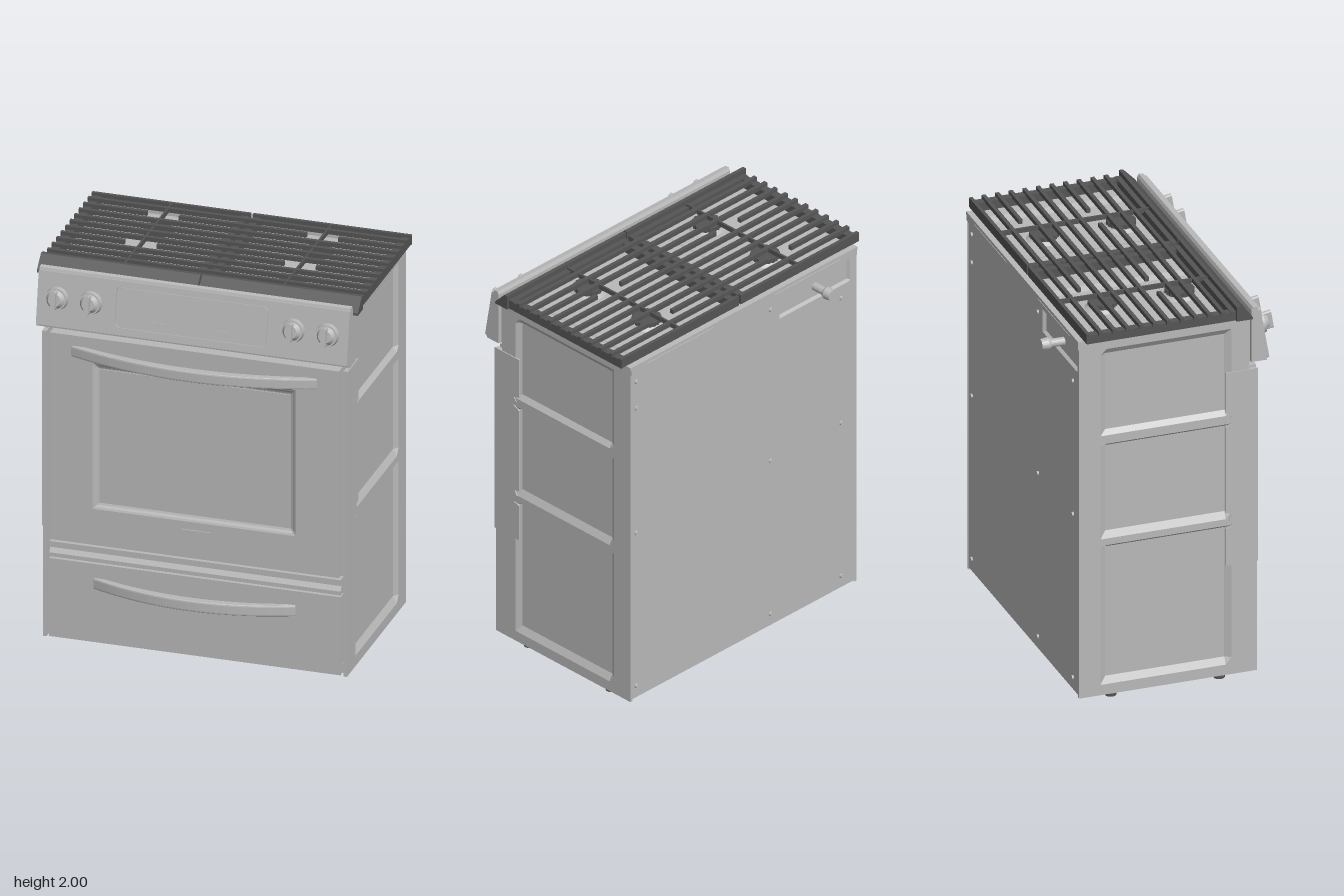
import * as THREE from 'three';

const steel = new THREE.MeshStandardMaterial({ color: 0xb9b9b9, side: THREE.DoubleSide });
steel.name = 'brushed steel';
const iron = new THREE.MeshStandardMaterial({ color: 0x555555 });
iron.name = 'cast iron';

function add(parent, name, geometry, material, x = 0, y = 0, z = 0) {
  const mesh = new THREE.Mesh(geometry, material);
  mesh.name = name;
  mesh.position.set(x, y, z);
  parent.add(mesh);
  return mesh;
}

// Box given by its limits on each axis
function block(parent, name, material, [x0, x1], [y0, y1], [z0, z1]) {
  return add(parent, name, new THREE.BoxGeometry(x1 - x0, y1 - y0, z1 - z0), material,
    (x0 + x1) / 2, (y0 + y1) / 2, (z0 + z1) / 2);
}

// Pressed sheet facing +z with sunken areas and a folded edge
function pressedSheet(us, vs, fold, depth) {
  const ring = a => [a[0], ...a, a[a.length - 1]];
  const U = ring(us), V = ring(vs), pos = [];
  const corner = (i, j) => {
    const edge = i === 0 || j === 0 || i === U.length - 1 || j === V.length - 1;
    return [U[i], V[j], edge ? -fold : -depth(U[i], V[j])];
  };
  for (let i = 0; i < U.length - 1; i++) {
    for (let j = 0; j < V.length - 1; j++) {
      const a = corner(i, j), b = corner(i + 1, j), c = corner(i + 1, j + 1), d = corner(i, j + 1);
      pos.push(...a, ...b, ...c, ...a, ...c, ...d);
    }
  }
  const g = new THREE.BufferGeometry();
  g.setAttribute('position', new THREE.Float32BufferAttribute(pos, 3));
  g.computeVertexNormals();
  return g;
}

const within = (v, a, b) => v > a - 1e-6 && v < b + 1e-6;

// Profile of [z, y] points swept along x
function sweepX(parent, name, material, points, width, x = 0) {
  const shape = new THREE.Shape(points.map(p => new THREE.Vector2(...p)));
  const g = new THREE.ExtrudeGeometry(shape, { depth: width, bevelEnabled: false });
  g.translate(0, 0, -width / 2).rotateY(-Math.PI / 2);
  return add(parent, name, g, material, x);
}

function roundedRect(w, h, r, cx = 0, cy = 0) {
  const s = new THREE.Shape(), x = w / 2 - r, y = h / 2 - r;
  s.absarc(cx + x, cy + y, r, 0, Math.PI / 2);
  s.absarc(cx - x, cy + y, r, Math.PI / 2, Math.PI);
  s.absarc(cx - x, cy - y, r, Math.PI, Math.PI * 1.5);
  s.absarc(cx + x, cy - y, r, Math.PI * 1.5, Math.PI * 2);
  return s;
}

const slab = (shape, t) =>
  new THREE.ExtrudeGeometry(shape, { depth: t, bevelEnabled: false, curveSegments: 6 });

// Bowed flat handle, thicker in the middle
function bowHandle(parent, name, half, y, zEnd, zMid) {
  const n = 24, points = [];
  const x = i => -half + 2 * half * i / n;
  const bow = (v, a, b) => -(a + (b - a) * (1 - (v / half) ** 2));
  for (let i = 0; i <= n; i++) points.push(new THREE.Vector2(x(i), bow(x(i), zEnd, zMid)));
  for (let i = n; i >= 0; i--) points.push(new THREE.Vector2(x(i), bow(x(i), zEnd - 0.02, zMid - 0.035)));
  const g = new THREE.ExtrudeGeometry(new THREE.Shape(points),
    { depth: 0.038, bevelThickness: 0.009, bevelSize: 0.005, bevelSegments: 2 });
  g.translate(0, 0, -0.019).rotateX(-Math.PI / 2);
  add(parent, name, g, steel, 0, y, 0);
}

function makeBody(g) {
  block(g, 'core', steel, [-0.735, 0.735], [0.08, 1.88], [-0.44, 0.39]);
  block(g, 'frontSill', steel, [-0.755, 0.755], [0.035, 0.085], [0.37, 0.41]);

  // Side walls with three sunken fields each
  const zs = [-0.47, -0.36, -0.33, 0.28, 0.31, 0.4];
  const ys = [0.03, 0.085, 0.12, 0.81, 0.825, 0.86, 0.895, 1.35, 1.365, 1.41, 1.435, 1.84, 1.87, 1.925];
  const fields = [[0.12, 0.81], [0.895, 1.35], [1.435, 1.84]];
  // Trim outline with notches around the two ribs
  const trim = [[0.445, 0.615], [0.445, 1.64], [0.28, 1.64], [0.28, 1.425], [0.315, 1.415], [0.3, 1.39], [0.32, 1.37],
    [0.28, 1.35], [0.28, 0.895], [0.31, 0.885], [0.295, 0.86], [0.315, 0.82], [0.28, 0.81], [0.28, 0.615]];
  for (const s of [1, -1]) {
    const us = zs.map(z => -s * z).sort((a, b) => a - b);
    const sheet = pressedSheet(us, ys, 0.015, (u, v) =>
      within(-s * u, -0.33, 0.28) && fields.some(f => within(v, ...f)) ? 0.02 : 0);
    add(g, 'sideWall', sheet, steel, s * 0.767).rotation.y = s * Math.PI / 2;
    const span = (a, b) => [Math.min(s * a, s * b), Math.max(s * a, s * b)];
    block(g, 'frontPost', steel, span(0.75, 0.767), [0.03, 1.64], [0.38, 0.44]);
    sweepX(g, 'sideTrim', steel, trim, 0.008, s * 0.768);
    // Levelling feet
    for (const z of [0.265, -0.29]) {
      add(g, 'foot', new THREE.CylinderGeometry(0.028, 0.028, 0.025, 16), iron, s * 0.715, 0.0125, z);
      add(g, 'footStem', new THREE.CylinderGeometry(0.014, 0.014, 0.065, 12), iron, s * 0.715, 0.052, z);
    }
  }

  // Back sheet with a sunken pocket for the gas inlet
  const back = pressedSheet([-0.76, 0.25, 0.26, 0.72, 0.73, 0.76], [0.035, 1.75, 1.76, 1.87, 1.88, 1.92], 0.02,
    (u, v) => within(u, 0.26, 0.72) && within(v, 1.76, 1.87) ? 0.015 : 0);
  add(g, 'backSheet', back, steel, 0, 0, -0.464).rotation.y = Math.PI;
  const screws = [[0.72, [1.83, 1.68, 0.97, 0.1]], [-0.19, [1.83, 0.97, 0.1]], [-0.67, [1.68, 0.97, 0.1]]];
  for (const [x, heights] of screws) for (const y of heights) {
    const geo = new THREE.CylinderGeometry(0.01, 0.012, 0.01, 10).rotateX(-Math.PI / 2);
    add(g, 'screw', geo, steel, x, y, -0.468);
  }
  const pipe = [[0, 0], [0.021, 0], [0.021, 0.07], [0.026, 0.071], [0.032, 0.085], [0.027, 0.12], [0, 0.12]];
  const inlet = new THREE.LatheGeometry(pipe.map(p => new THREE.Vector2(...p)), 20).toNonIndexed();
  inlet.computeVertexNormals();
  add(g, 'gasInlet', inlet, steel, -0.505, 1.815, -0.45).rotation.x = -Math.PI / 2;
}

function makeFront(g) {
  // Oven door with a softly sunken window
  const rims = [0.03, 0.02, 0.01, 0];
  const us = [-0.73, ...rims.map(r => -0.483 - r), ...rims.map(r => 0.483 + r).reverse(), 0.73];
  const vs = [0.55, ...rims.map(r => 0.77 - r), ...rims.map(r => 1.48 + r).reverse(), 1.64];
  const door = pressedSheet(us, vs, 0.06, (u, v) => {
    const out = Math.max(Math.abs(u) - 0.483, 0.77 - v, v - 1.48, 0);
    return 0.016 * THREE.MathUtils.smoothstep(0.03 - out, 0, 0.03);
  });
  add(g, 'ovenDoor', door, steel, 0, 0, 0.45);
  block(g, 'windowGlass', steel, [-0.478, 0.478], [0.775, 1.475], [0.43, 0.438]);
  block(g, 'doorTopTrim', steel, [-0.735, 0.735], [1.648, 1.675], [0.38, 0.408]);
  add(g, 'badge', slab(roundedRect(0.15, 0.028, 0.004), 0.006), steel, 0.005, 0.685, 0.45);
  bowHandle(g, 'doorHandle', 0.615, 1.558, 0.452, 0.56);

  // Ledge between door and drawer, then the drawer
  sweepX(g, 'ledge', steel, [[0.38, 0.455], [0.44, 0.455], [0.44, 0.475], [0.425, 0.5], [0.44, 0.505], [0.44, 0.535], [0.38, 0.535]], 1.47);
  block(g, 'drawer', steel, [-0.735, 0.735], [0.035, 0.447], [0.38, 0.443]);
  bowHandle(g, 'drawerHandle', 0.505, 0.345, 0.447, 0.55);

  // Tilted control panel with a skin cut out around the display
  sweepX(g, 'controlPanel', steel, [[0.405, 1.685], [0.485, 1.684], [0.487, 1.698],
    [0.442, 1.958], [0.437, 1.973], [0.413, 1.976], [0.405, 1.96]], 1.57);
  block(g, 'panelBack', steel, [-0.765, 0.765], [1.68, 1.92], [0.37, 0.41]);
  const face = new THREE.Group();
  face.name = 'controls';
  face.position.set(0, 1.828, 0.4646);
  face.rotation.x = -0.172;
  g.add(face);
  const skin = roundedRect(1.57, 0.27, 0.006);
  skin.holes.push(roundedRect(0.772, 0.208, 0.03, -0.004, 0.005));
  add(face, 'panelSkin', slab(skin, 0.01), steel);
  add(face, 'display', slab(roundedRect(0.756, 0.192, 0.025), 0.008), steel, -0.004, 0.005, 0);
  for (const [x, w] of [[-0.187, 0.038], [-0.146, 0.038], [0.148, 0.054]]) {
    add(face, 'button', slab(roundedRect(w, 0.03, 0.003), 0.007), steel, x, -0.062, 0.007);
  }
  for (const x of [-0.685, -0.515, 0.507, 0.68]) {
    const knob = new THREE.Group();
    knob.name = 'knob';
    knob.position.set(x, 0.007, 0.008);
    face.add(knob);
    add(knob, 'knobBezel', new THREE.CylinderGeometry(0.054, 0.058, 0.028, 32).rotateX(Math.PI / 2), steel, 0, 0, 0.015);
    add(knob, 'knobCap', new THREE.CylinderGeometry(0.032, 0.046, 0.022, 32).rotateX(Math.PI / 2), steel, 0, 0, 0.04);
    add(knob, 'knobGrip', slab(roundedRect(0.024, 0.095, 0.01), 0.05), steel, 0, 0, 0.026);
  }
}

function makeCooktop(g) {
  // Steel top with two shallow wells running front to back
  const top = pressedSheet([-0.765, -0.69, -0.65, -0.215, -0.18, 0.18, 0.215, 0.65, 0.69, 0.765],
    [-0.4, 0.475], 0.04, u => within(Math.abs(u), 0.215, 0.65) ? 0.015 : 0);
  add(g, 'cooktop', top, steel, 0, 1.925, 0).rotation.x = -Math.PI / 2;
  block(g, 'rearStrip', steel, [-0.77, 0.77], [1.915, 1.932], [-0.476, -0.435]);

  // Burners with scalloped caps
  const outline = [];
  for (let i = 0; i < 108; i++) {
    const a = i / 108 * Math.PI * 2, r = 0.07 + 0.0025 * Math.cos(18 * a);
    outline.push(new THREE.Vector2(r * Math.cos(a), r * Math.sin(a)));
  }
  const cap = new THREE.ExtrudeGeometry(new THREE.Shape(outline), { depth: 0.022, bevelEnabled: false });
  cap.rotateX(-Math.PI / 2);
  for (const x of [-0.402, 0.402]) for (const z of [-0.215, 0.18]) {
    add(g, 'burnerBase', new THREE.CylinderGeometry(0.068, 0.088, 0.016, 32), steel, x, 1.917, z);
    add(g, 'burnerCap', cap, iron, x, 1.925, z);
  }
}

function makeGrates(g) {
  const bars = [-0.374, -0.304, -0.235, -0.165, -0.096, -0.026, 0.043, 0.113, 0.183, 0.252];
  for (const s of [1, -1]) {
    const span = (a, b) => [Math.min(s * a, s * b), Math.max(s * a, s * b)];
    block(g, 'outerRail', iron, span(0.758, 0.798), [1.927, 1.972], [-0.44, 0.33]);
    block(g, 'innerRail', iron, span(0.013, 0.05), [1.927, 1.972], [-0.44, 0.33]);
    block(g, 'rearRail', iron, span(0.006, 0.806), [1.935, 1.985], [-0.448, -0.43]);
    block(g, 'frontRail', iron, span(0.013, 0.798), [1.93, 1.975], [0.295, 0.33]);
    block(g, 'spine', iron, span(0.397, 0.407), [1.962, 1.986], [-0.44, 0.32]);
    sweepX(g, 'frontTrim', iron, [[0.322, 1.925], [0.405, 1.925], [0.403, 1.937], [0.342, 2], [0.322, 2]],
      0.806, s * 0.407);
    // Cross bars, two of them broken beside the burners
    for (const z of bars) {
      const broken = z === -0.304 || z === 0.043;
      const parts = broken ? [[0, 0.322], [0.483, 0.806]] : [[0, 0.806]];
      for (const p of parts) block(g, 'crossBar', iron, span(...p), [1.966, 1.988], [z - 0.01, z + 0.01]);
    }
  }
}

export function createModel() {
  const model = new THREE.Group();
  model.name = 'range';
  const sections = { body: makeBody, front: makeFront, cooktop: makeCooktop, grates: makeGrates };
  for (const [name, make] of Object.entries(sections)) {
    const group = new THREE.Group();
    group.name = name;
    make(group);
    model.add(group);
  }
  return model;
}
